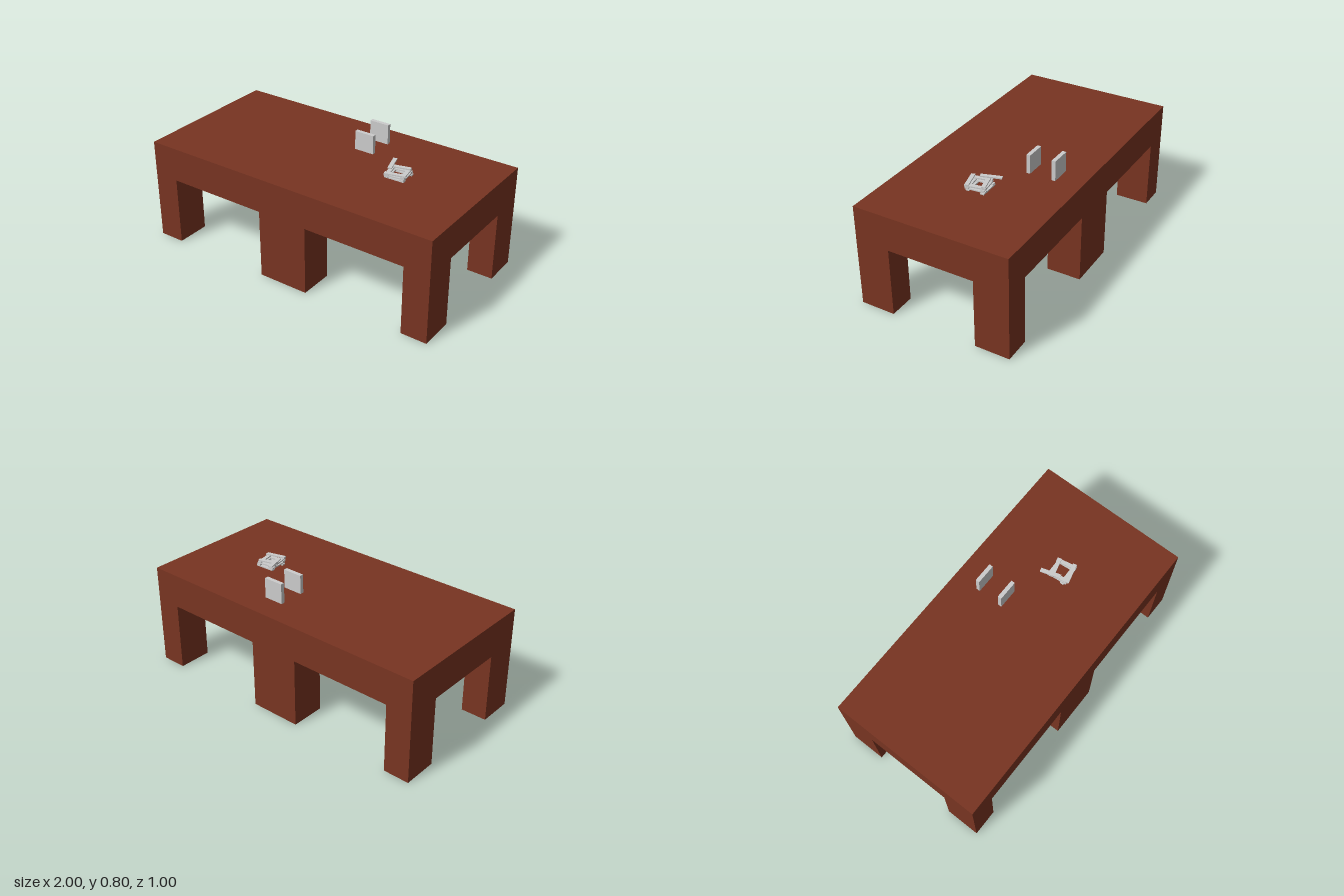
import * as THREE from 'three';

const TABLE_H = 0.667;
const SLAB_BOTTOM = 0.445;
const LEG = { x: 0.167, z: 0.222 };
const PLANK = { length: 0.13, height: 0.0081, width: 0.025 };

const wood = new THREE.MeshStandardMaterial({ color: 0x783421 });
const grey = new THREE.MeshStandardMaterial({ color: 0xcccccc });

function box(name, size, position, material) {
  const mesh = new THREE.Mesh(new THREE.BoxGeometry(...size), material);
  mesh.name = name;
  mesh.position.set(...position);
  return mesh;
}

// Square table: a thick slab on four corner legs
function createTable(name, x) {
  const table = new THREE.Group();
  table.name = name;
  table.position.x = x;
  const thickness = TABLE_H - SLAB_BOTTOM;
  table.add(box('tableTop', [1, thickness, 1], [0, SLAB_BOTTOM + thickness / 2, 0], wood));
  for (const sx of [-1, 1]) {
    for (const sz of [-1, 1]) {
      table.add(box('leg', [LEG.x, SLAB_BOTTOM, LEG.z],
        [sx * (0.5 - LEG.x / 2), SLAB_BOTTOM / 2, sz * (0.5 - LEG.z / 2)], wood));
    }
  }
  return table;
}

function createPlank(x, y, z, angle) {
  const plank = box('plank', [PLANK.length, PLANK.height, PLANK.width], [x, y, z], grey);
  plank.rotation.y = angle;
  return plank;
}

// Upright stack of flat planks
function createStack(name, count, z) {
  const stack = new THREE.Group();
  stack.name = name;
  stack.position.set(0.14, TABLE_H, z);
  for (let i = 0; i < count; i++) {
    stack.add(createPlank(0, (i + 0.5) * PLANK.height, 0, 0));
  }
  return stack;
}

// Crisscross tower: pairs of planks, each layer turned a little further
function createTower() {
  const tower = new THREE.Group();
  tower.name = 'plankTower';
  tower.position.set(0.48, TABLE_H, 0);
  const pitch = 0.0089;
  for (let layer = 0; layer < 5; layer++) {
    const y = (layer + 0.5) * pitch;
    const twist = 0.03 + layer * 0.055;
    const shift = -0.004 + layer * 0.0035;
    for (const side of [-1, 1]) {
      if (layer % 2 === 0) {
        tower.add(createPlank(side * 0.049 * Math.sin(twist), y, shift + side * 0.048, twist));
      } else {
        tower.add(createPlank(side * 0.049, y, shift - side * 0.049 * Math.sin(twist), twist + Math.PI / 2));
      }
    }
  }
  // Loose plank on top, overhanging to the back
  tower.add(createPlank(-0.066, 5.5 * pitch, -0.037, Math.PI / 2 + 0.3));
  return tower;
}

export function createModel() {
  const model = new THREE.Group();
  model.name = 'tablesWithPlanks';
  model.add(
    createTable('rightTable', -0.5),
    createTable('leftTable', 0.5),
    createStack('frontStack', 15, -0.16),
    createStack('backStack', 16, -0.326),
    createTower(),
  );
  return model;
}
